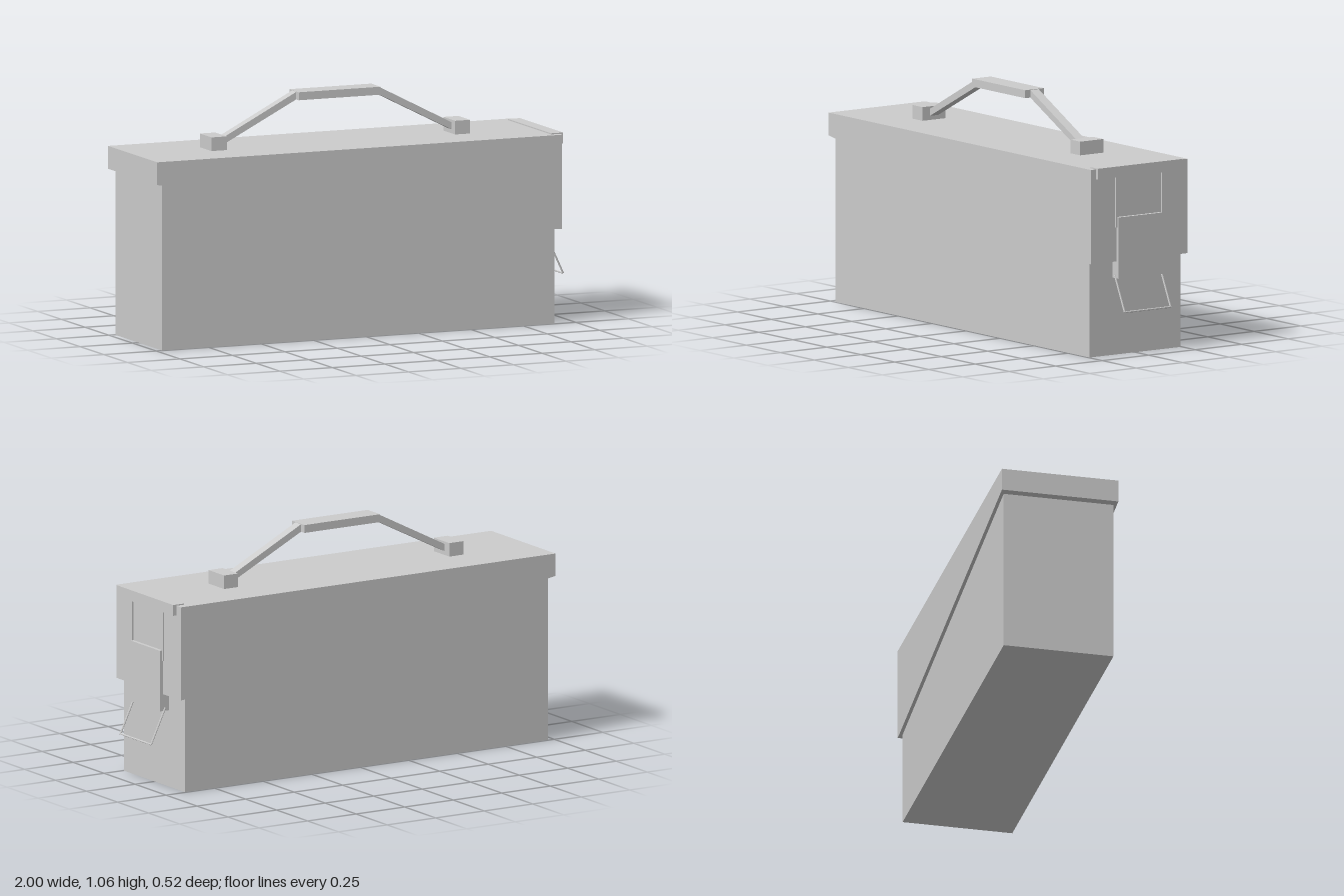
import * as THREE from 'three';

const material = new THREE.MeshStandardMaterial({ color: 0xcccccc, flatShading: true });

function add(group, name, geometry) {
  const mesh = new THREE.Mesh(geometry, material);
  mesh.name = name;
  group.add(mesh);
  return mesh;
}

// Box given by its min and max on each axis
function box(group, name, [x0, x1], [y0, y1], [z0, z1]) {
  const mesh = add(group, name, new THREE.BoxGeometry(x1 - x0, y1 - y0, z1 - z0));
  mesh.position.set((x0 + x1) / 2, (y0 + y1) / 2, (z0 + z1) / 2);
  return mesh;
}

// Side profile in x, y extruded across z
function slab(group, name, points, width, z = 0) {
  const shape = new THREE.Shape(points.map(([x, y]) => new THREE.Vector2(x, y)));
  const geometry = new THREE.ExtrudeGeometry(shape, { depth: width, bevelEnabled: false });
  geometry.translate(0, 0, z - width / 2);
  return add(group, name, geometry);
}

// Straight wire between two points
function wire(group, name, a, b, radius = 0.004) {
  const from = new THREE.Vector3(...a);
  const to = new THREE.Vector3(...b);
  const path = new THREE.LineCurve3(from, to);
  return add(group, name, new THREE.TubeGeometry(path, 1, radius, 6));
}

export function createModel() {
  const model = new THREE.Group();
  model.name = 'ammunitionBox';

  // Case with a slanted rim, and the overhanging wedge lid
  slab(model, 'body', [[-0.97, 0], [0.9, 0], [0.9, 0.43], [-0.97, 0.735]], 0.49);
  slab(model, 'lid', [[-1, 0.73], [0.9, 0.418], [0.93, 0.415], [0.93, 0.83], [-1, 0.83]], 0.52);

  // Carrying handle: two mounts, sloping arms and a raised grip
  const handle = new THREE.Group();
  handle.name = 'handle';
  model.add(handle);
  const middle = -0.035;
  for (const side of [-1, 1]) {
    const at = (d) => middle + side * d;
    box(handle, 'handleMount', [at(0.58) - 0.036, at(0.58) + 0.036], [0.828, 0.89], [-0.062, 0.062]);
    const profile = [[at(0.55), 0.845], [at(0.195), 1.025], [at(0.195), 1.058], [at(0.55), 0.876]];
    slab(handle, 'handleArm', side < 0 ? profile : profile.reverse(), 0.045);
  }
  box(handle, 'handleGrip', [-0.23, 0.16], [1.025, 1.06], [-0.05, 0.05]);

  // Angled hook strip over the end edge of the lid
  slab(model, 'hookStrip',
    [[0.89, 0.825], [0.925, 0.825], [0.925, 0.787], [0.946, 0.787], [0.946, 0.835], [0.89, 0.835]],
    0.455, 0.005);

  // Latch plate with side wires above and a hanging wire loop below
  const latch = new THREE.Group();
  latch.name = 'latch';
  model.add(latch);
  box(latch, 'latchPlate', [0.895, 0.946], [0.34, 0.61], [-0.115, 0.122]);
  for (const z of [-0.121, 0.126]) {
    box(latch, 'latchRail', [0.92, 0.937], [0.565, 0.79], [z - 0.004, z + 0.004]);
    wire(latch, 'loopSide', [0.922, 0.355, z], [0.995, 0.2, z]);
  }
  wire(latch, 'loopEnd', [0.995, 0.2, -0.124], [0.995, 0.2, 0.129]);

  return model;
}
